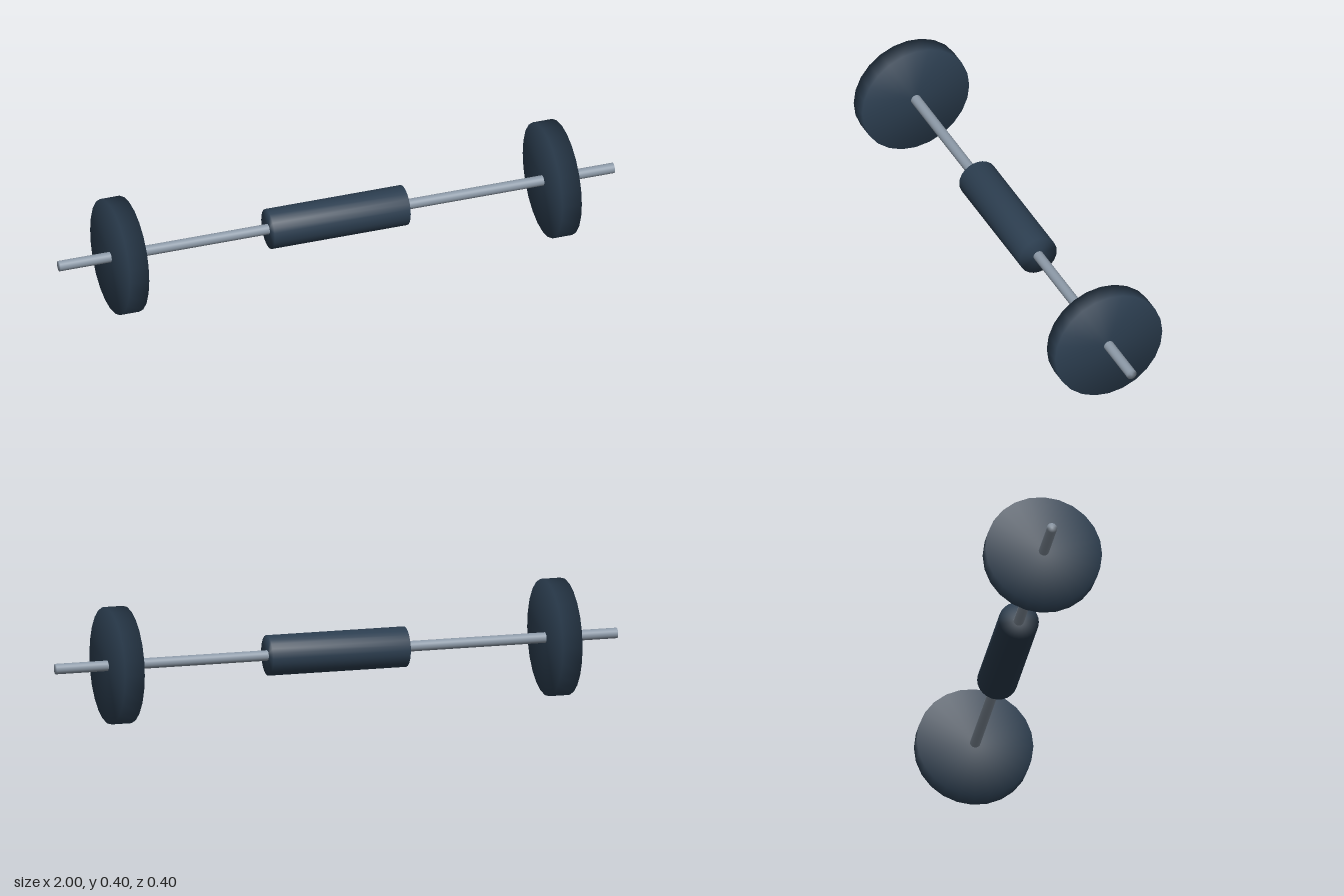
import * as THREE from 'three';
import { mergeVertices } from 'three/addons/utils/BufferGeometryUtils.js';

const AXIS_Y = 0.2;
const dark = new THREE.MeshStandardMaterial({ color: 0x2c3e50 });
const steel = new THREE.MeshStandardMaterial({ color: 0x8d9aa8 });

// Cylinder along x whose normals blend softly over the rims
function softCylinder(name, radius, length, sides, material, x = 0) {
  let geometry = new THREE.CylinderGeometry(radius, radius, length, sides);
  geometry.deleteAttribute('normal');
  geometry.deleteAttribute('uv');
  geometry = mergeVertices(geometry);
  geometry.rotateZ(Math.PI / 2);
  geometry.computeVertexNormals();
  const mesh = new THREE.Mesh(geometry, material);
  mesh.name = name;
  mesh.position.set(x, AXIS_Y, 0);
  return mesh;
}

export function createModel() {
  const model = new THREE.Group();
  model.name = 'barbell';

  // Bar running the full length, with a thick grip in the middle
  model.add(softCylinder('bar', 0.018, 2, 24, steel));
  model.add(softCylinder('grip', 0.069, 0.49, 24, dark));

  // One weight disc near each end
  for (const [name, side] of [['leftWeight', 1], ['rightWeight', -1]]) {
    model.add(softCylinder(name, 0.2, 0.07, 24, dark, side * 0.78));
  }
  return model;
}
